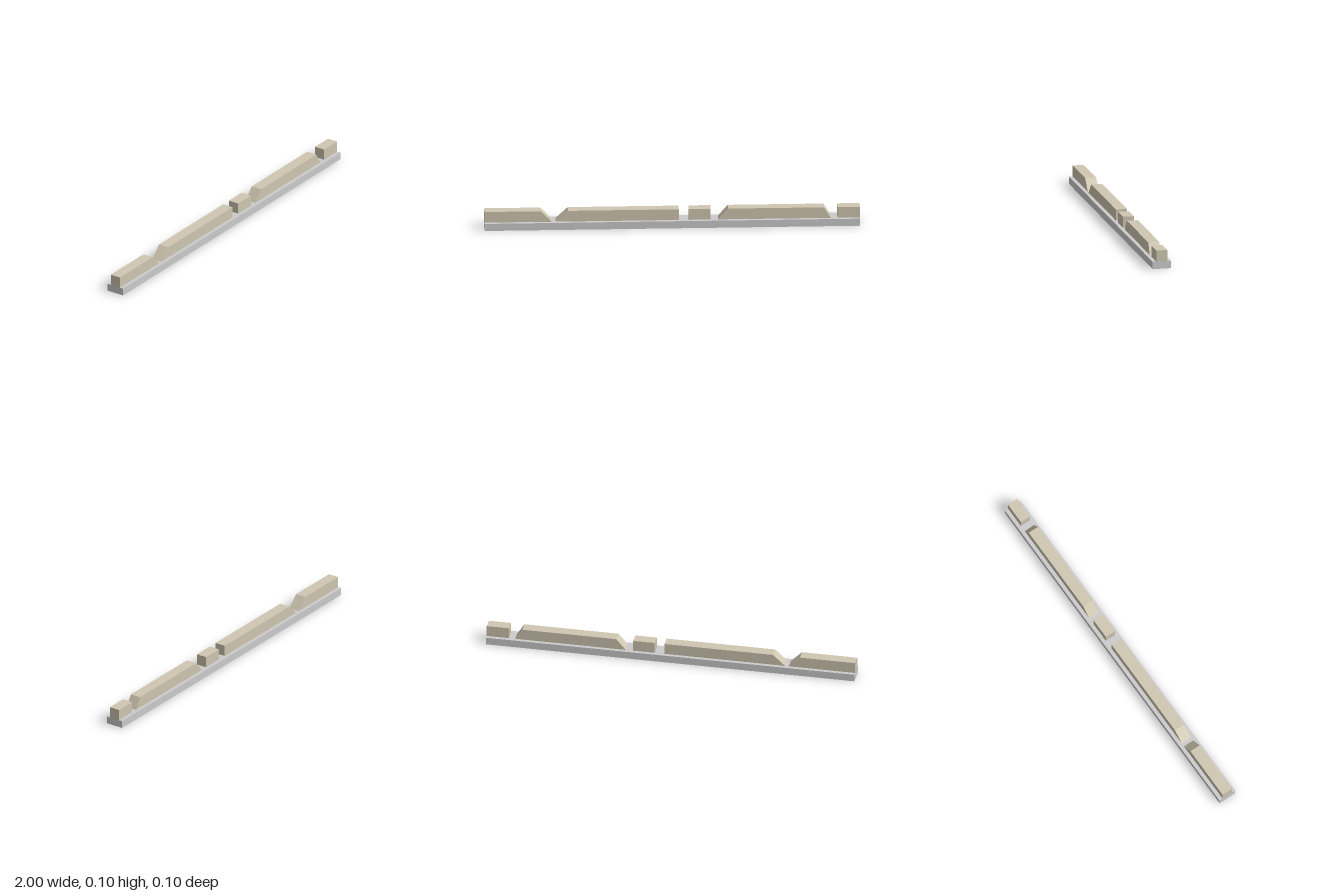
import * as THREE from 'three';

const BASE_H = 0.04, TOP = 0.1, BLOCK_DEPTH = 0.06;

// Block with a trapezoid side profile: x at bottom and top of each end
function block(name, material, bottomLeft, topLeft, topRight, bottomRight) {
  const profile = new THREE.Shape([
    new THREE.Vector2(bottomLeft, BASE_H),
    new THREE.Vector2(bottomRight, BASE_H),
    new THREE.Vector2(topRight, TOP),
    new THREE.Vector2(topLeft, TOP),
  ]);
  const geometry = new THREE.ExtrudeGeometry(profile, { depth: BLOCK_DEPTH, bevelEnabled: false });
  geometry.translate(0, 0, -BLOCK_DEPTH / 2);
  const mesh = new THREE.Mesh(geometry, material);
  mesh.name = name;
  return mesh;
}

export function createModel() {
  const group = new THREE.Group();
  group.name = 'barrierStrip';
  const grey = new THREE.MeshStandardMaterial({ color: 0xcccccc });
  const tan = new THREE.MeshStandardMaterial({ color: 0xcfc6b1 });

  // Long flat base rail
  const base = new THREE.Mesh(new THREE.BoxGeometry(2, BASE_H, 0.1), grey);
  base.name = 'baseRail';
  base.position.y = BASE_H / 2;
  group.add(base);

  // Row of blocks, some with sloped ends
  const blocks = [
    ['endBlockRight', -1, -1, -0.7, -0.64],
    ['longBlockRight', -0.62, -0.555, 0.035, 0.035],
    ['smallMiddleBlock', 0.088, 0.088, 0.205, 0.205],
    ['longBlockLeft', 0.245, 0.297, 0.807, 0.845],
    ['endBlockLeft', 0.88, 0.88, 1, 1],
  ];
  for (const [name, ...xs] of blocks) group.add(block(name, tan, ...xs));

  return group;
}
